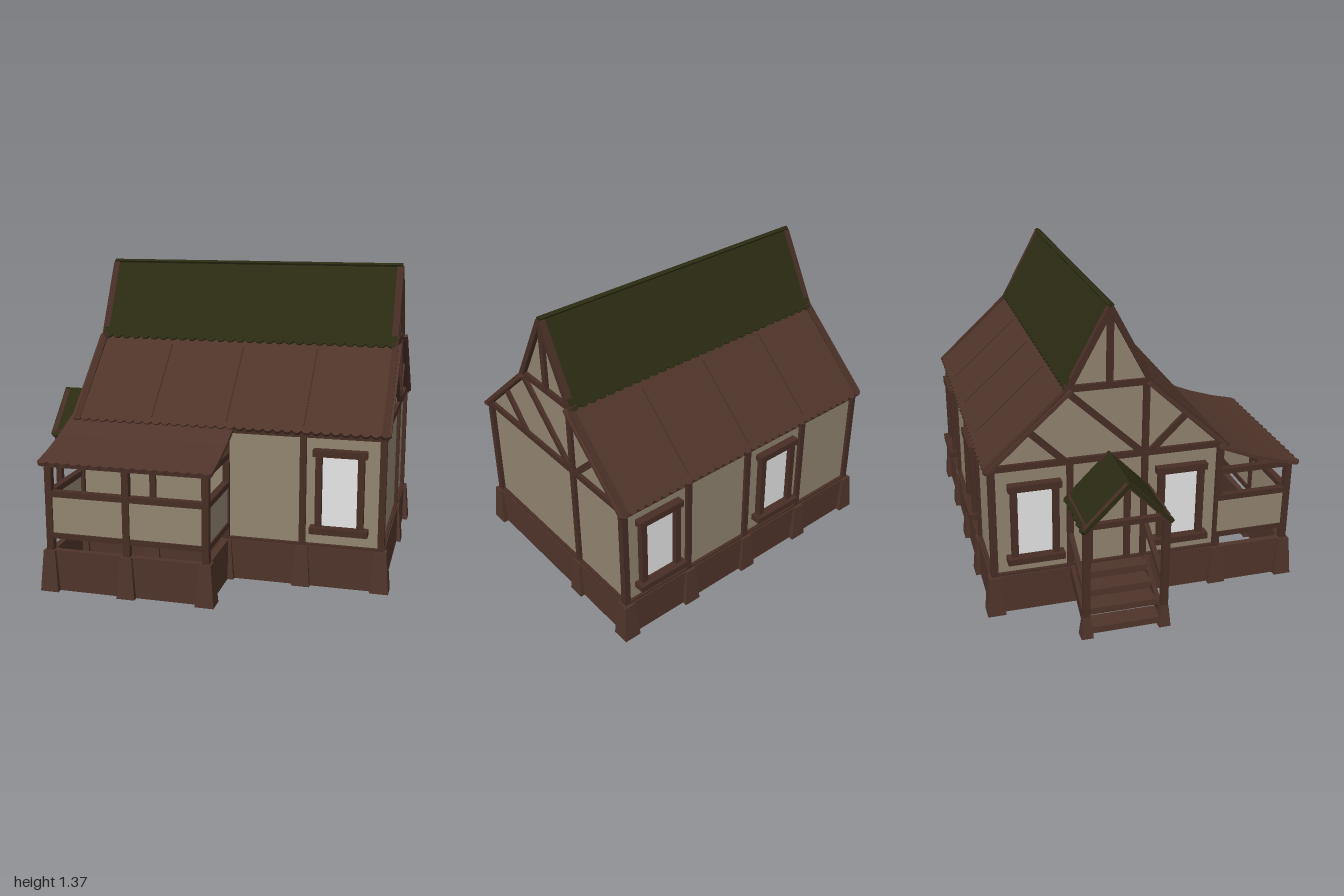
import * as THREE from 'three';

const mat = (name, color) => Object.assign(new THREE.MeshStandardMaterial({ color }), { name });
const plaster = mat('plaster', 0x928470);
const timber = mat('timber', 0x472e25);
const wood = mat('brownWood', 0x4f342a);
const moss = mat('mossGreen', 0x2b2b13);
const glass = mat('windowGlass', 0xeaeaec);

const V = (x, y, z) => new THREE.Vector3(x, y, z);

function add(parent, name, geo, material, x = 0, y = 0, z = 0) {
  const m = new THREE.Mesh(geo, material);
  m.name = name;
  m.position.set(x, y, z);
  parent.add(m);
  return m;
}
const box = (parent, name, material, w, h, d, x, y, z) =>
  add(parent, name, new THREE.BoxGeometry(w, h, d), material, x, y, z);

function group(parent, name, rotY = 0, x = 0, y = 0, z = 0) {
  const g = new THREE.Group();
  g.name = name;
  g.rotation.y = rotY;
  g.position.set(x, y, z);
  parent.add(g);
  return g;
}

// Timber from a to b; its depth d lies along the normal n
function beam(parent, name, a, b, w = 0.028, d = 0.03, n = V(0, 0, 1)) {
  const m = add(parent, name, new THREE.BoxGeometry(w, a.distanceTo(b), d), timber);
  const dir = b.clone().sub(a).normalize();
  const side = dir.clone().cross(n).normalize();
  m.quaternion.setFromRotationMatrix(new THREE.Matrix4().makeBasis(side, dir, side.clone().cross(dir)));
  m.position.copy(a).lerp(b, 0.5);
  return m;
}

// Sloped roof sheet from top [z, y] to bottom [z, y], with an optional tiled lower edge
function roofSheet(parent, name, material, x0, x1, top, bottom, tiles = 0, t = 0.016) {
  const s = Math.hypot(bottom[0] - top[0], bottom[1] - top[1]);
  const shape = new THREE.Shape();
  shape.moveTo(x1, 0);
  shape.lineTo(x0, 0);
  shape.lineTo(x0, -s + (tiles ? 0.012 : 0));
  const step = (x1 - x0) / Math.max(tiles, 1);
  for (let i = 0; i < tiles; i++) {
    const x = x0 + i * step;
    shape.quadraticCurveTo(x + step / 2, -s - 0.016, x + step, -s + 0.012);
  }
  if (!tiles) shape.lineTo(x1, -s);
  const geo = new THREE.ExtrudeGeometry(shape, { depth: t, bevelEnabled: false, curveSegments: 4 });
  geo.translate(0, 0, -t);
  const m = add(parent, name, geo, material, 0, top[1], top[0]);
  m.rotation.x = -Math.atan2(bottom[0] - top[0], top[1] - bottom[1]);
  return m;
}

// Square footing that widens downwards
function footing(parent, x, z, h = 0.18, top = 0.026, bottom = 0.04) {
  const geo = new THREE.CylinderGeometry(top * Math.SQRT2, bottom * Math.SQRT2, h, 4, 1).toNonIndexed();
  geo.rotateY(Math.PI / 4);
  geo.computeVertexNormals();
  add(parent, 'footing', geo, wood, x, h / 2, z);
}

function windowUnit(parent, x, z) {
  const g = group(parent, 'window', 0, x, 0, z);
  box(g, 'windowPane', glass, 0.17, 0.33, 0.006, 0, 0.43, 0.004);
  for (const s of [-1, 1]) box(g, 'windowJamb', timber, 0.028, 0.35, 0.035, s * 0.09, 0.43, 0.012);
  box(g, 'windowLintel', timber, 0.23, 0.03, 0.045, 0, 0.6, 0.014);
  box(g, 'windowSill', timber, 0.25, 0.028, 0.06, 0, 0.26, 0.02);
}

const HU = 0.675, HV = 0.505;        // half length and half width of the walls
const bays = [-2, -1, 0, 1, 2].map(i => i * 0.34);

function buildBody(house) {
  const s = new THREE.Shape();
  [[-HV, 0.16], [HV, 0.16], [HV, 0.69], [0.18, 1.0], [0, 1.335], [-0.18, 1.0], [-HV, 0.69]]
    .forEach(([x, y], i) => (i ? s.lineTo(x, y) : s.moveTo(x, y)));
  const geo = new THREE.ExtrudeGeometry(s, { depth: HU * 2, bevelEnabled: false });
  geo.translate(0, 0, -HU).rotateY(Math.PI / 2);
  add(house, 'plasterWalls', geo, plaster);
  // plinth boards
  for (const k of [-1, 1]) {
    box(house, 'plinth', wood, 1.39, 0.18, 0.03, 0, 0.09, k * (HV + 0.005));
    box(house, 'plinth', wood, 0.03, 0.18, 1.0, k * (HU + 0.005), 0.09, 0);
  }
  // long sides
  for (const k of [-1, 1]) {
    const side = group(house, 'longSide', k > 0 ? 0 : Math.PI);
    for (const x of bays) {
      beam(side, 'wallPost', V(x, 0.17, HV), V(x, 0.69, HV));
      footing(side, x, HV + 0.002);
    }
    beam(side, 'sillBeam', V(-HU, 0.18, HV), V(HU, 0.18, HV), 0.02);
    beam(side, 'eaveBeam', V(-HU, 0.675, HV), V(HU, 0.675, HV));
    (k > 0 ? [0.5] : [-0.505, 0.175]).forEach(x => windowUnit(side, x, HV));
  }
  // gable ends; local z points outwards
  for (const k of [1, -1]) {
    const end = group(house, 'gableEnd', k * Math.PI / 2);
    const P = (x, y) => V(x, y, HU);
    const bar = (x0, y0, x1, y1, w) => beam(end, 'gableTimber', P(x0, y0), P(x1, y1), w);
    bar(-HV, 0.18, HV, 0.18, 0.02);
    bar(-HV, 0.69, HV, 0.69);
    bar(-0.19, 1.015, 0.19, 1.015);
    bar(0, 1.015, 0, 1.32);
    bar(0.16, 0.17, 0.16, 1.01);
    bar(-0.18, 1.0, 0.15, 0.69);
    bar(-0.35, 0.85, -0.19, 0.69);
    bar(0.18, 0.69, 0.34, 0.85);
    footing(end, 0.16, HU);
    for (const m of [-1, 1]) {
      beam(end, 'bargeBoard', V(0, 1.345, HU + 0.005), V(m * 0.185, 1.0, HU + 0.005), 0.026);
      beam(end, 'bargeBoard', V(m * 0.185, 1.0, HU + 0.01), V(m * 0.53, 0.68, HU + 0.01), 0.026);
    }
    if (k < 0) {
      // entrance wall
      bar(-0.17, 0.17, -0.17, 0.69);
      bar(-0.085, 0.17, -0.085, 0.54);
      bar(0.085, 0.17, 0.085, 0.54);
      bar(-0.1, 0.54, 0.1, 0.54);
      for (const x of [-0.325, 0.325]) windowUnit(end, x, HU);
    }
  }
}

function buildRoof(house) {
  for (const k of [0, 1]) {
    const half = group(house, 'roofHalf', k * Math.PI);
    roofSheet(half, 'upperRoof', moss, -0.69, 0.69, [0, 1.365], [0.195, 1.01], 30);
    roofSheet(half, 'lowerRoof', wood, -0.71, 0.71, [0.17, 1.02], [0.54, 0.685], 34);
    for (const x of bays.slice(1, 4))
      beam(half, 'roofSeam', V(x, 0.99, 0.204), V(x, 0.71, 0.513), 0.005, 0.006, V(0, 0.74, 0.67));
  }
}

// Open lean-to with railings on three sides
function buildVeranda(house) {
  const g = group(house, 'veranda');
  const x0 = -0.69, x1 = 0, z0 = HV, z1 = 0.83;
  const profile = [[0.5, 0.695], [0.64, 0.638], [0.76, 0.6], [0.875, 0.573]];
  for (let i = 0; i < 3; i++)
    roofSheet(g, 'verandaRoof', wood, -0.725, 0.035, profile[i], profile[i + 1], i === 2 ? 16 : 0);
  for (const x of [x0, (x0 + x1) / 2, x1]) {
    beam(g, 'verandaPost', V(x, 0.17, z1), V(x, 0.57, z1), 0.03);
    footing(g, x, z1);
  }
  const sides = [[x0, z1, x1, z1], [x0, z0, x0, z1], [x1, z0, x1, z1]];
  for (const [a, b, c, d] of sides) {
    const along = a !== c, len = along ? c - a : d - b;
    const slab = (name, m, y, h, t) => box(g, name, m,
      along ? len : t, h, along ? t : len, (a + c) / 2, y, (b + d) / 2);
    slab('verandaPlinth', wood, 0.09, 0.18, 0.028);
    slab('railPanel', plaster, 0.335, 0.17, 0.014);
    slab('lowerRail', timber, 0.245, 0.024, 0.028);
    slab('upperRail', timber, 0.43, 0.026, 0.03);
    slab('topPlate', timber, 0.56, 0.026, 0.028);
  }
}

// Stepped entrance under a small gabled roof
function buildPorch(house) {
  const g = group(house, 'entrancePorch');
  const n = 4;
  for (let i = 0; i < n; i++)
    box(g, 'step', wood, 0.085, 0.03, 0.32, -0.92 + i * 0.068, 0.03 + i * 0.045, 0);
  for (const k of [-1, 1]) {
    const half = group(g, 'porchRoofHalf', k > 0 ? 0 : Math.PI);
    roofSheet(half, 'porchRoof', moss, k > 0 ? -0.98 : 0.67, k > 0 ? -0.67 : 0.98, [0, 0.715], [0.2, 0.51], 6);
    beam(g, 'porchPost', V(-0.95, 0, k * 0.17), V(-0.95, 0.53, k * 0.17));
    footing(g, -0.95, k * 0.17, 0.1, 0.016, 0.026);
    beam(g, 'porchPlate', V(-0.96, 0.525, k * 0.17), V(-0.68, 0.525, k * 0.17), 0.024, 0.024);
    beam(g, 'stairSide', V(-0.95, 0.03, k * 0.165), V(-0.69, 0.17, k * 0.165), 0.05, 0.02);
    beam(g, 'handrail', V(-0.95, 0.2, k * 0.17), V(-0.69, 0.34, k * 0.17), 0.022, 0.022);
    beam(g, 'porchRafter', V(-0.965, 0.7, 0), V(-0.965, 0.515, k * 0.18), 0.022, 0.022, V(1, 0, 0));
  }
  beam(g, 'porchTie', V(-0.95, 0.525, -0.17), V(-0.95, 0.525, 0.17), 0.024, 0.024, V(1, 0, 0));
}

export function createModel() {
  const model = new THREE.Group();
  model.name = 'cottage';
  const house = group(model, 'house', -0.615, 0.1);
  buildBody(house);
  buildRoof(house);
  buildVeranda(house);
  buildPorch(house);
  return model;
}
